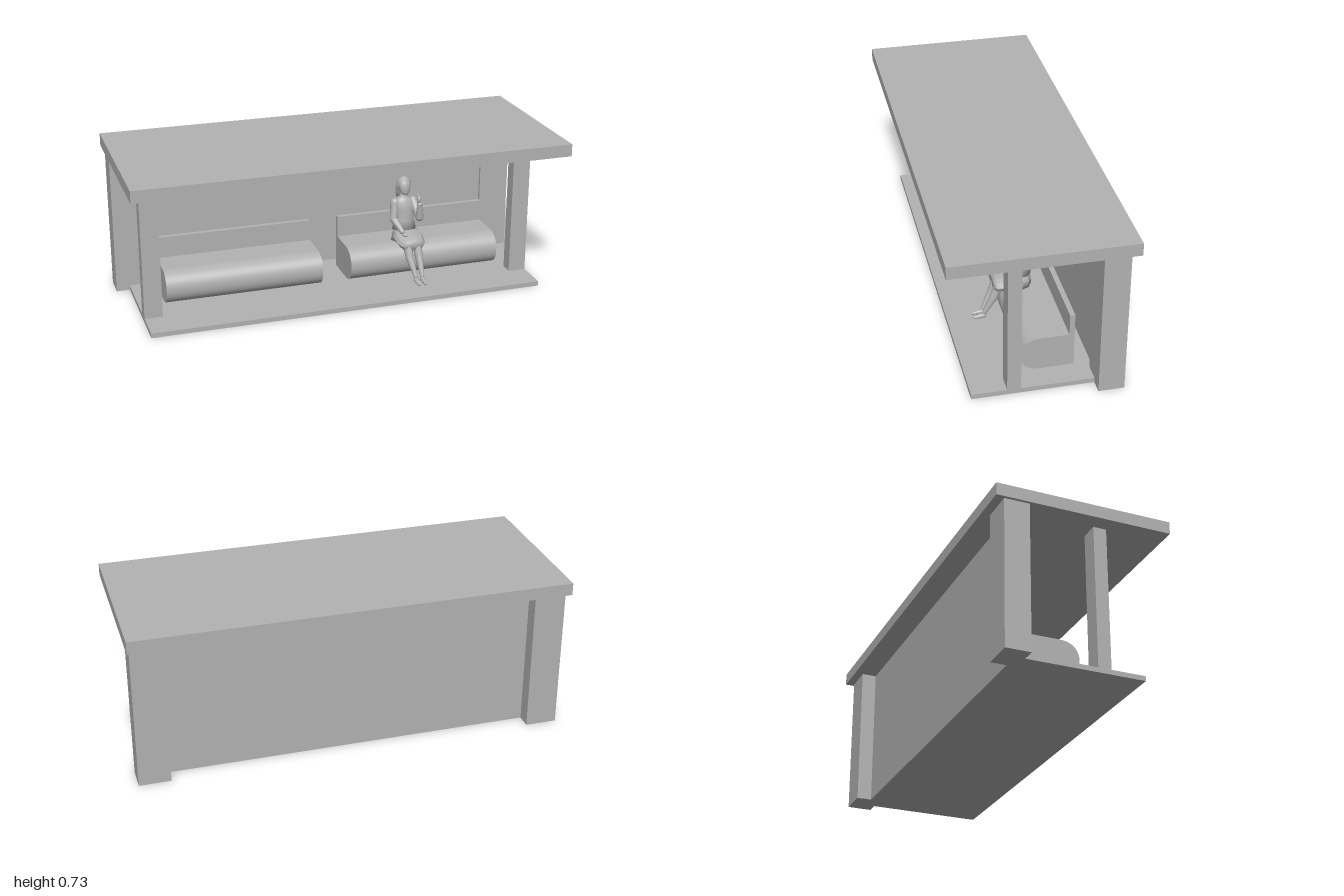
import * as THREE from 'three';

export function createModel() {
  const root = new THREE.Group();
  root.name = 'shelter';
  const grey = new THREE.MeshStandardMaterial({ color: 0xb2b2b2 });
  grey.name = 'light grey';

  const add = (name, geometry, parent = root) => {
    const m = new THREE.Mesh(geometry, grey);
    m.name = name;
    parent.add(m);
    return m;
  };
  // box from its min and max on each axis
  const box = (name, x0, x1, y0, y1, z0, z1) =>
    add(name, new THREE.BoxGeometry(x1 - x0, y1 - y0, z1 - z0)
      .translate((x0 + x1) / 2, (y0 + y1) / 2, (z0 + z1) / 2));

  // shelter structure
  box('roof', -1, 1, 0.675, 0.732, -0.4, 0.4);
  box('floor', -0.925, 0.925, 0, 0.022, -0.29, 0.29);
  box('backWall', -0.845, 0.845, 0.022, 0.675, -0.29, -0.26);
  for (const s of [-1, 1]) {
    const span = (a, b) => (s > 0 ? [a, b] : [-b, -a]);
    box('frontPost', ...span(0.842, 0.925), 0.022, 0.675, 0.075, 0.135);
    box('backPost', ...span(0.842, 0.987), 0, 0.675, -0.36, -0.246);
  }

  // benches: rounded-front seat with a thin backrest, extruded along x
  const bench = (x0, x1) => {
    const p = new THREE.Shape();
    p.moveTo(0.185, 0.022);
    p.lineTo(0.185, 0.28);
    p.lineTo(0.162, 0.28);
    p.lineTo(0.162, 0.18);
    p.lineTo(0.035, 0.18);
    p.bezierCurveTo(-0.025, 0.18, -0.053, 0.145, -0.053, 0.101);
    p.bezierCurveTo(-0.053, 0.057, -0.025, 0.022, 0.035, 0.022);
    p.closePath();
    const g = new THREE.ExtrudeGeometry(p, { depth: x1 - x0, bevelEnabled: false, curveSegments: 14 });
    add('bench', g.rotateY(Math.PI / 2).translate(x0, 0, 0));
  };
  bench(-0.805, -0.066);
  bench(0.073, 0.81);

  // seated girl
  const girl = new THREE.Group();
  girl.name = 'seatedGirl';
  root.add(girl);

  // closed skin over elliptical rings [x, y, z, rx, rz], optionally pleated
  const loft = (rings, pleat = 0, n = 40) => {
    const pos = [], idx = [];
    rings.forEach(([x, y, z, rx, rz]) => {
      for (let j = 0; j < n; j++) {
        const t = (j / n) * Math.PI * 2;
        const k = 1 + pleat * Math.cos(t * 10);
        pos.push(x + rx * k * Math.cos(t), y, z + rz * k * Math.sin(t));
      }
    });
    for (let i = 0; i < rings.length - 1; i++) {
      for (let j = 0; j < n; j++) {
        const a = i * n + j, b = i * n + (j + 1) % n;
        idx.push(a, a + n, b, b, a + n, b + n);
      }
    }
    const g = new THREE.BufferGeometry();
    g.setAttribute('position', new THREE.Float32BufferAttribute(pos, 3));
    g.setIndex(idx);
    g.computeVertexNormals();
    return g;
  };
  const ball = (name, x, y, z, rx, ry, rz) =>
    add(name, new THREE.SphereGeometry(1, 20, 14).scale(rx, ry, rz).translate(x, y, z), girl);
  // tapered limb through joints [x, y, z, radius]
  const limb = (name, joints) => {
    joints.forEach(([x, y, z, r], i) => {
      ball(name, x, y, z, r, r, r);
      if (!i) return;
      const [px, py, pz, pr] = joints[i - 1];
      const a = new THREE.Vector3(px, py, pz), d = new THREE.Vector3(x, y, z).sub(a);
      const m = add(name, new THREE.CylinderGeometry(r, pr, d.length(), 16, 1, true), girl);
      m.position.copy(a).addScaledVector(d, 0.5);
      m.quaternion.setFromUnitVectors(new THREE.Vector3(0, 1, 0), d.normalize());
    });
  };

  add('jacket', loft([
    [0.37, 0.234, -0.05, 0.001, 0.001], [0.37, 0.234, -0.05, 0.058, 0.045],
    [0.37, 0.28, -0.052, 0.046, 0.038], [0.37, 0.33, -0.05, 0.047, 0.037],
    [0.368, 0.365, -0.052, 0.05, 0.032], [0.367, 0.385, -0.054, 0.038, 0.025],
    [0.366, 0.397, -0.055, 0.016, 0.016], [0.366, 0.42, -0.05, 0.014, 0.015],
  ]), girl);

  // skirt: pleated hips on the seat, then cloth running forward over the thighs
  add('skirtHips', loft([
    [0.374, 0.18, -0.045, 0.001, 0.001], [0.374, 0.18, -0.045, 0.068, 0.05],
    [0.373, 0.21, -0.05, 0.06, 0.043], [0.37, 0.25, -0.05, 0.045, 0.036],
    [0.37, 0.25, -0.05, 0.001, 0.001],
  ], 0.04), girl);
  // rings [x, z, -y, rx, ry] turned to run along z
  add('skirtLap', loft([
    [0.374, -0.07, -0.21, 0.001, 0.001], [0.374, -0.05, -0.21, 0.064, 0.03],
    [0.374, 0, -0.205, 0.07, 0.032], [0.374, 0.04, -0.194, 0.066, 0.031],
    [0.374, 0.066, -0.188, 0.056, 0.03], [0.374, 0.078, -0.19, 0.046, 0.022],
    [0.374, 0.078, -0.19, 0.001, 0.001],
  ], 0.03).rotateX(Math.PI / 2), girl);

  // legs and feet
  for (const [kx, fx] of [[0.35, 0.37], [0.397, 0.402]]) {
    limb('leg', [[kx, 0.185, 0.055, 0.022], [kx + 0.004, 0.13, 0.078, 0.019], [fx, 0.05, 0.122, 0.01]]);
    limb('foot', [[fx, 0.037, 0.124, 0.012], [fx, 0.032, 0.15, 0.01], [fx, 0.029, 0.168, 0.007]]);
  }

  // arms: one raised towards the chin, one resting on the lap
  limb('raisedArm', [[0.413, 0.368, -0.052, 0.021], [0.428, 0.3, 0.004, 0.019], [0.422, 0.37, 0.016, 0.012]]);
  ball('raisedHand', 0.418, 0.394, 0.015, 0.01, 0.019, 0.012);
  limb('raisedFinger', [[0.416, 0.402, 0.018, 0.005], [0.412, 0.422, 0.011, 0.004]]);
  limb('restingArm', [[0.322, 0.368, -0.052, 0.021], [0.312, 0.29, -0.035, 0.019], [0.338, 0.24, 0.012, 0.012]]);
  ball('restingHand', 0.347, 0.229, 0.027, 0.012, 0.009, 0.019);

  // head and shoulder-length hair
  add('face', loft([
    [0.365, 0.408, -0.03, 0.001, 0.001], [0.365, 0.411, -0.028, 0.013, 0.012],
    [0.365, 0.425, -0.033, 0.023, 0.02], [0.365, 0.45, -0.04, 0.029, 0.027],
    [0.365, 0.472, -0.045, 0.029, 0.028], [0.365, 0.488, -0.05, 0.015, 0.018],
  ]), girl);
  ball('nose', 0.365, 0.44, -0.013, 0.005, 0.007, 0.006);
  add('hair', loft([
    [0.365, 0.388, -0.072, 0.001, 0.001], [0.365, 0.39, -0.072, 0.028, 0.013],
    [0.365, 0.415, -0.07, 0.034, 0.018], [0.365, 0.44, -0.062, 0.036, 0.026],
    [0.365, 0.465, -0.053, 0.035, 0.032], [0.365, 0.483, -0.049, 0.026, 0.026],
    [0.365, 0.493, -0.048, 0.011, 0.012], [0.365, 0.495, -0.048, 0.001, 0.001],
  ], 0.025), girl);

  return root;
}
